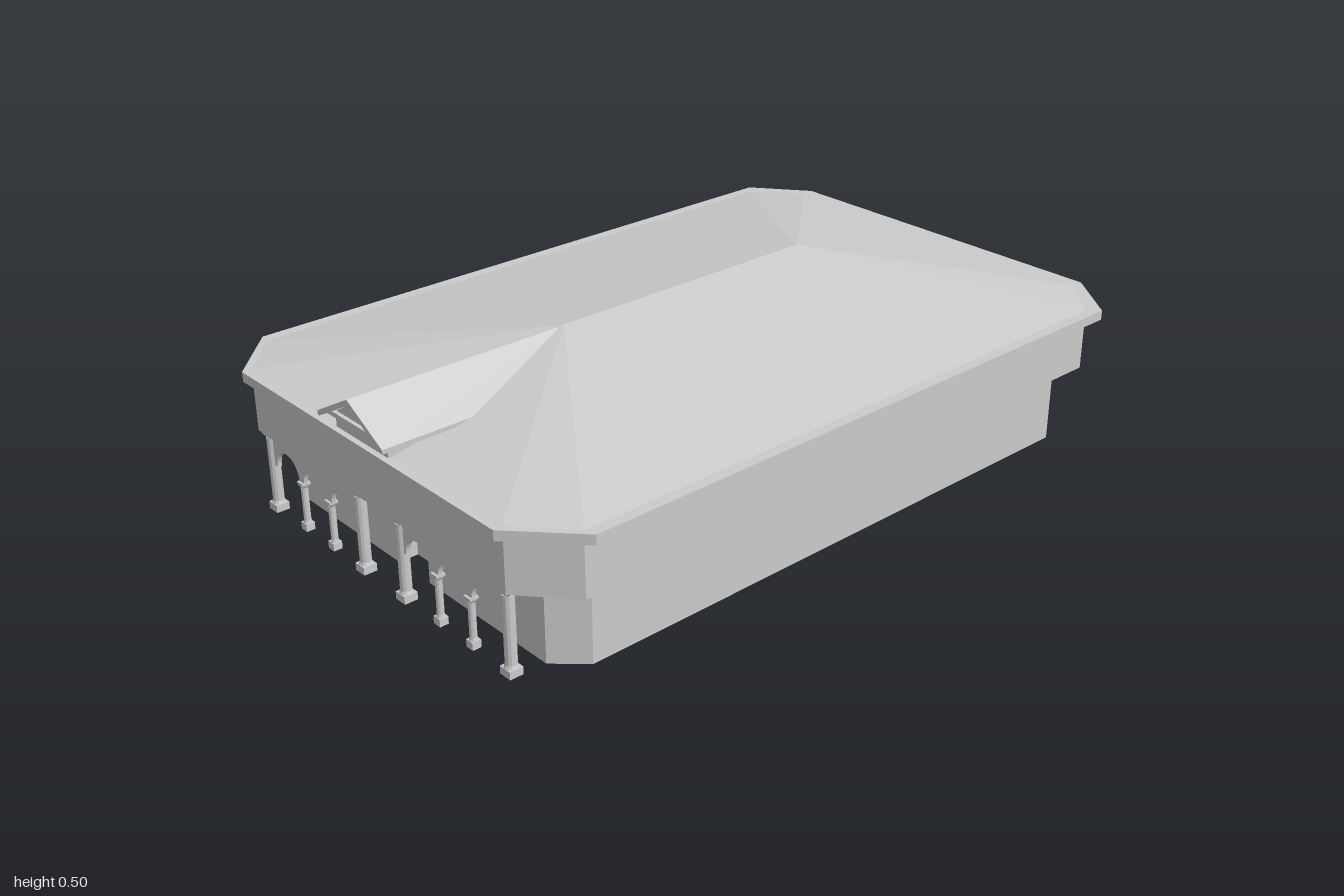
import * as THREE from 'three';

const material = new THREE.MeshStandardMaterial({ color: 0xcccccc, flatShading: true, side: THREE.DoubleSide });

function add(parent, name, geometry, x = 0, y = 0, z = 0) {
  const mesh = new THREE.Mesh(geometry, material);
  mesh.name = name;
  mesh.position.set(x, y, z);
  parent.add(mesh);
  return mesh;
}

// Rectangle with four cut corners, as [x, z] points running from the front left corner to the back
function octagon({ x, cx, front, cFront, back, cBack }) {
  return [[cx, front], [x, cFront], [x, cBack], [cx, back],
    [-cx, back], [-x, cBack], [-x, cFront], [-cx, front]];
}

// Upright prism on a plan of [x, z] points
function prism(points, height) {
  const shape = new THREE.Shape(points.map(([x, z]) => new THREE.Vector2(x, -z)));
  return new THREE.ExtrudeGeometry(shape, { depth: height, bevelEnabled: false }).rotateX(-Math.PI / 2);
}

// Shape drawn in the front plane, given depth along z
function slab(points, depth) {
  const shape = new THREE.Shape(points.map(([x, y]) => new THREE.Vector2(x, y)));
  return new THREE.ExtrudeGeometry(shape, { depth, bevelEnabled: false });
}

// Hipped roof: each plan edge rises to the ridge end(s) nearest to it
function hipRoof(plan, baseY, ridgeY, ridgeFront, ridgeBack) {
  const positions = [];
  const base = plan.map(([x, z]) => [x, baseY, z]);
  const apex = ([, , z]) => [0, ridgeY, z > 0 ? ridgeFront : ridgeBack];
  base.forEach((a, i) => {
    const b = base[(i + 1) % base.length];
    positions.push(...a, ...b, ...apex(a));
    if (apex(a)[2] !== apex(b)[2]) positions.push(...b, ...apex(b), ...apex(a));
  });
  const geometry = new THREE.BufferGeometry();
  geometry.setAttribute('position', new THREE.Float32BufferAttribute(positions, 3));
  geometry.computeVertexNormals();
  return geometry;
}

// Column with square plinth, round shaft and a flared, square-topped capital
function column(name, x, z, height, radius, plinth) {
  const group = new THREE.Group();
  group.name = name;
  group.position.set(x, 0, z);
  const capital = 0.016;
  add(group, 'plinth', new THREE.BoxGeometry(plinth, 0.02, plinth), 0, 0.01);
  add(group, 'shaftFoot', new THREE.CylinderGeometry(radius, radius * 1.2, 0.008, 12), 0, 0.024);
  add(group, 'shaft', new THREE.CylinderGeometry(radius, radius, height - 0.02 - capital, 12),
    0, (height + 0.02 - capital) / 2);
  const flare = new THREE.CylinderGeometry(plinth * 0.707, radius * 1.1, capital * 0.6, 4).rotateY(Math.PI / 4);
  add(group, 'capital', flare, 0, height - capital * 0.7);
  add(group, 'abacus', new THREE.BoxGeometry(plinth, capital * 0.4, plinth), 0, height - capital * 0.2);
  return group;
}

export function createModel() {
  const model = new THREE.Group();
  model.name = 'pavilion';

  // Lower walls with the entrance recess cut into the front
  const wallPlan = octagon({ x: 0.575, cx: 0.505, front: 0.86, cFront: 0.785, back: -0.885, cBack: -0.815 });
  const recess = [[-0.063, 0.86], [-0.063, 0.8], [0.063, 0.8], [0.063, 0.86]];
  add(model, 'lowerWalls', prism([...wallPlan, ...recess], 0.22));
  add(model, 'entranceDoor', new THREE.BoxGeometry(0.126, 0.12, 0.01), 0, 0.06, 0.802);

  // Overhanging upper storey and eaves
  const upperPlan = octagon({ x: 0.635, cx: 0.508, front: 0.96, cFront: 0.848, back: -0.965, cBack: -0.85 });
  add(model, 'upperWalls', prism(upperPlan, 0.14), 0, 0.22);
  const eavesPlan = octagon({ x: 0.665, cx: 0.51, front: 0.985, cFront: 0.84, back: -1, cBack: -0.88 });
  add(model, 'eaves', prism(eavesPlan, 0.026), 0, 0.36);

  // Main roof
  add(model, 'roof', hipRoof(upperPlan, 0.386, 0.503, 0.39, -0.41));

  // Front gable: body and two roof slopes running back into the main roof
  const gable = new THREE.Group();
  gable.name = 'frontGable';
  model.add(gable);
  add(gable, 'gableBody', slab([[-0.105, 0.38], [0.105, 0.38], [0.105, 0.425], [0, 0.488], [-0.105, 0.425]], 0.42), 0, 0, 0.55);
  add(gable, 'gableRoof', slab([[-0.132, 0.416], [-0.125, 0.416], [0, 0.487], [0.125, 0.416], [0.132, 0.416],
    [0.132, 0.427], [0, 0.501], [-0.132, 0.427]], 0.59), 0, 0, 0.41);
  add(gable, 'gableCornice', new THREE.BoxGeometry(0.26, 0.012, 0.24), 0, 0.422, 0.86);

  // Arcades on either side of the entrance
  const z = 0.938;
  for (const side of [1, -1]) {
    const arcade = new THREE.Group();
    arcade.name = side > 0 ? 'leftArcade' : 'rightArcade';
    model.add(arcade);
    const wall = new THREE.Shape();
    wall.moveTo(0.085, 0.22);
    wall.lineTo(0.085, 0.13);
    for (const centre of [0.157, 0.284, 0.409]) {
      wall.lineTo(centre - 0.052, 0.13);
      wall.absarc(centre, 0.132, 0.052, Math.PI, 0, true);
      wall.lineTo(centre + 0.052, 0.13);
    }
    wall.lineTo(0.485, 0.13);
    wall.lineTo(0.485, 0.22);
    const arches = new THREE.ExtrudeGeometry(wall, { depth: 0.012, bevelEnabled: false, curveSegments: 16 });
    if (side < 0) arches.rotateY(Math.PI).translate(0, 0, 0.012);
    add(arcade, 'arches', arches, 0, 0, z - 0.006);
    for (const x of [0.085, 0.485]) arcade.add(column('tallColumn', side * x, z, 0.22, 0.0145, 0.036));
    for (const x of [0.222, 0.347]) arcade.add(column('archColumn', side * x, z, 0.133, 0.009, 0.024));
  }
  return model;
}
